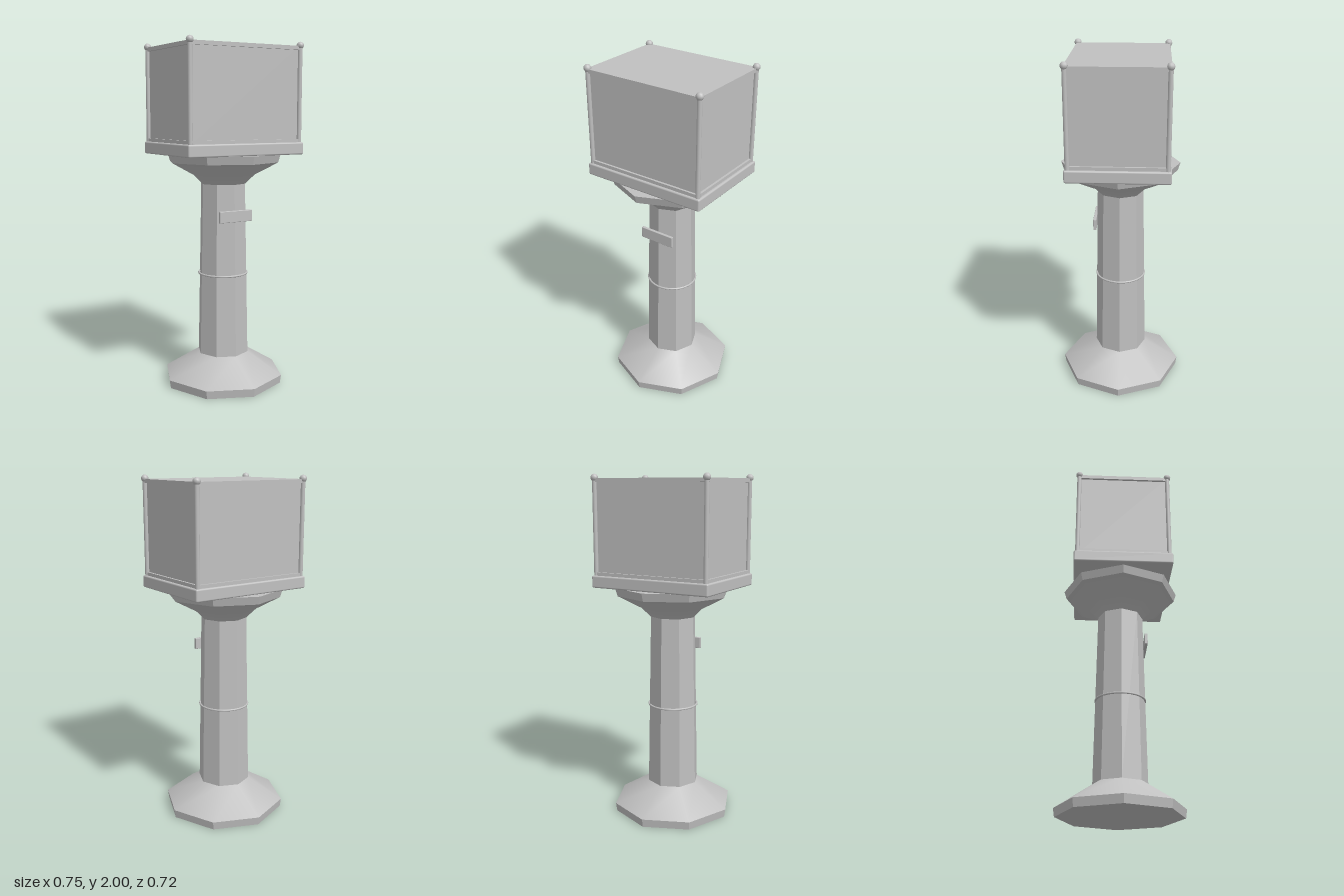
import * as THREE from 'three';
import { RoundedBoxGeometry } from 'three/addons/geometries/RoundedBoxGeometry.js';

export function createModel() {
  const model = new THREE.Group();
  model.name = 'displayPillar';
  const smooth = new THREE.MeshStandardMaterial({ color: 0xc0c0c0 });
  smooth.name = 'plain grey';

  const add = (name, geometry, x = 0, y = 0, z = 0, parent = model) => {
    const mesh = new THREE.Mesh(geometry, smooth);
    mesh.name = name;
    mesh.position.set(x, y, z);
    parent.add(mesh);
    return mesh;
  };

  // Eight-sided section between two heights, faceted or smoothly shaded
  const octagon = (name, r0, y0, r1, y1, faceted, open = false) => {
    let g = new THREE.CylinderGeometry(r1, r0, y1 - y0, 8, 1, open);
    if (faceted) {
      g = g.toNonIndexed();
      g.computeVertexNormals();
    }
    return add(name, g, 0, (y0 + y1) / 2, 0);
  };

  // Foot, shaft and flared capital
  octagon('footRim', 0.353, 0, 0.36, 0.048, true);
  octagon('footSlope', 0.36, 0.048, 0.15, 0.18, false, true);
  octagon('shaft', 0.153, 0.17, 0.133, 1.2, true);
  const flare = [[0.13, 1.19], [0.19, 1.247], [0.328, 1.32]].map(([r, y]) => new THREE.Vector2(r, y));
  add('capitalFlare', new THREE.LatheGeometry(flare, 8));
  octagon('capitalRim', 0.328, 1.32, 0.342, 1.366, true);

  // Thin round band about the shaft
  const band = add('shaftBand', new THREE.TorusGeometry(0.143, 0.006, 8, 32), 0, 0.66, 0);
  band.rotation.x = Math.PI / 2;

  // Small blank plaque on the front of the shaft
  add('plaque', new RoundedBoxGeometry(0.214, 0.066, 0.018, 2, 0.003), 0, 1.013, 0.145);

  // Platform and the closed case on it
  add('platform', new RoundedBoxGeometry(0.746, 0.07, 0.57, 3, 0.009), 0, 1.4, 0);
  add('casePanels', new THREE.BoxGeometry(0.692, 0.544, 0.52), 0, 1.704, 0);

  // Case frame: corner posts with ball finials, rails top and bottom
  const frame = new THREE.Group();
  frame.name = 'caseFrame';
  model.add(frame);
  const px = 0.352, pz = 0.265;
  const post = new THREE.CylinderGeometry(0.013, 0.013, 0.545, 12);
  const ball = new THREE.SphereGeometry(0.021, 10, 8);
  for (const sx of [-1, 1]) {
    for (const sz of [-1, 1]) {
      add('cornerPost', post, sx * px, 1.705, sz * pz, frame);
      add('finial', ball, sx * px, 1.979, sz * pz, frame);
    }
  }
  const longRail = new THREE.BoxGeometry(2 * px, 0.022, 0.014);
  const shortRail = new THREE.BoxGeometry(0.014, 0.022, 2 * pz);
  for (const y of [1.965, 1.443]) {
    for (const s of [-1, 1]) {
      add('longRail', longRail, 0, y, s * 0.266, frame);
      add('shortRail', shortRail, s * 0.352, y, 0, frame);
    }
  }
  return model;
}
